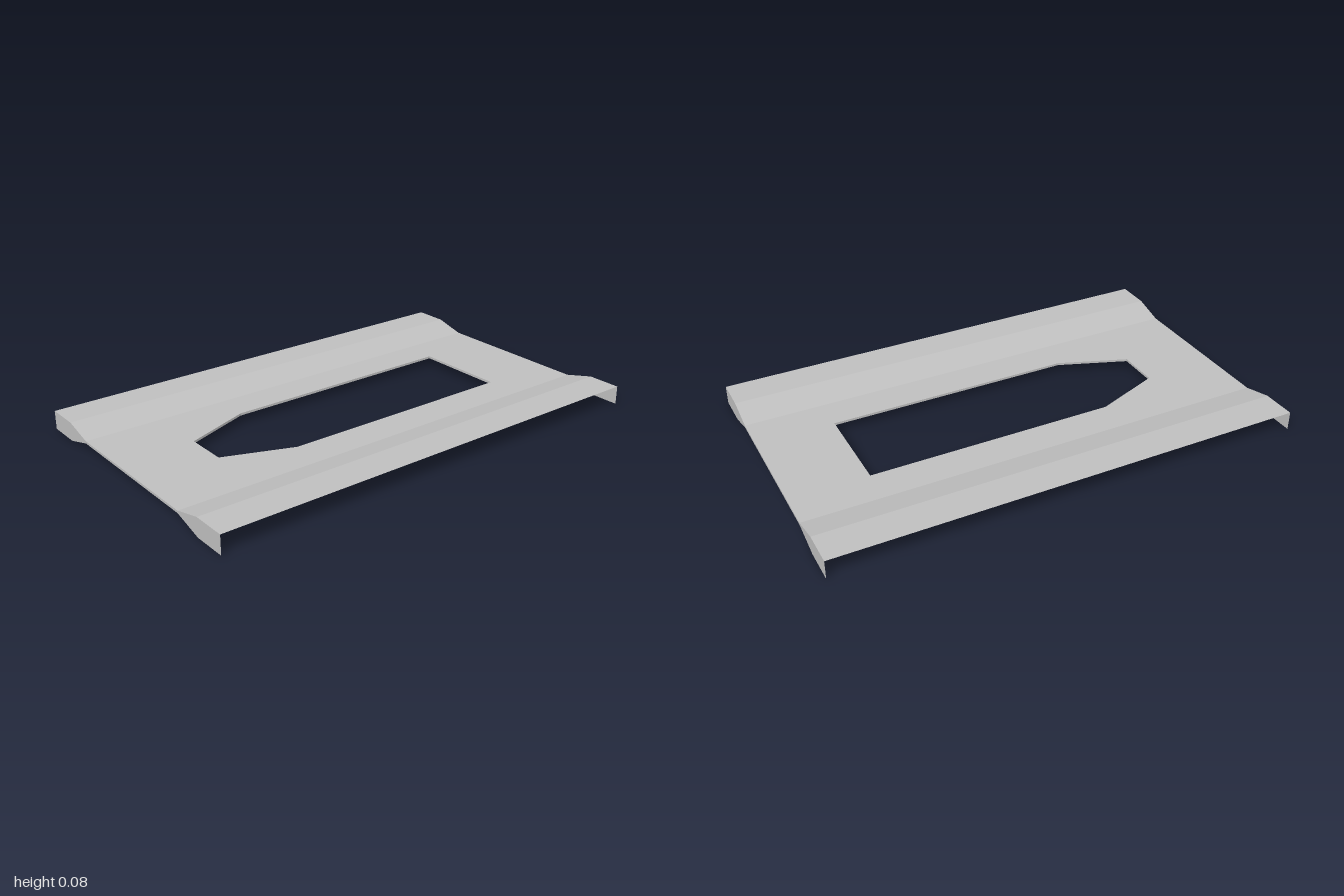
import * as THREE from 'three';

const HALF_W = 0.625, FLAT_X = 0.35, RIM_X = 0.48, HALF_L = 1;
const RIM_Y = 0.08, TOP_Y = 0.047, UNDER_Y = 0.037;

const shapeFrom = pts => new THREE.Shape(pts.map(([x, y]) => new THREE.Vector2(x, y)));

// Vertical or sloped strips swept between matching points of two rails
function strips(railA, railB) {
  const pos = [];
  for (let i = 0; i < railA.length - 1; i++) {
    const a = railA[i], b = railA[i + 1], c = railB[i + 1], d = railB[i];
    pos.push(...a, ...b, ...c, ...a, ...c, ...d);
  }
  const geo = new THREE.BufferGeometry();
  geo.setAttribute('position', new THREE.Float32BufferAttribute(pos, 3));
  geo.computeVertexNormals();
  return geo;
}

export function createModel() {
  const group = new THREE.Group();
  const grey = new THREE.MeshStandardMaterial({ color: 0xc0c0c0, side: THREE.DoubleSide });
  grey.name = 'light grey';
  const add = (name, geo) => {
    const mesh = new THREE.Mesh(geo, grey);
    mesh.name = name;
    group.add(mesh);
    return mesh;
  };

  // Flat centre panel with the tapered opening
  const opening = [[-0.2, -0.67], [0.2, -0.67], [0.2, 0.38], [0.09, 0.67], [-0.09, 0.67], [-0.2, 0.38]];
  const panel = shapeFrom([[-FLAT_X, -HALF_L], [FLAT_X, -HALF_L], [FLAT_X, HALF_L], [-FLAT_X, HALF_L]]);
  panel.holes.push(new THREE.Path(opening.map(([x, z]) => new THREE.Vector2(x, -z))));
  add('centrePanel', new THREE.ShapeGeometry(panel).rotateX(-Math.PI / 2).translate(0, TOP_Y, 0));

  // Thin walls around the opening
  const loop = [...opening, opening[0]];
  add('openingWalls', strips(
    loop.map(([x, z]) => [x, UNDER_Y, z]),
    loop.map(([x, z]) => [x, TOP_Y, z])));

  // Raised side rims, open underneath and on the outside
  for (const side of [-1, 1]) {
    const profile = [[FLAT_X, TOP_Y], [RIM_X, RIM_Y], [HALF_W, RIM_Y]].map(([x, y]) => [side * x, y]);
    if (side < 0) profile.reverse();
    add(side > 0 ? 'leftRim' : 'rightRim', strips(
      profile.map(([x, y]) => [x, y, HALF_L]),
      profile.map(([x, y]) => [x, y, -HALF_L])));
  }

  // End plates with the full waisted profile
  const half = [[FLAT_X, UNDER_Y], [RIM_X, 0], [HALF_W, 0], [HALF_W, RIM_Y], [RIM_X, RIM_Y], [FLAT_X, TOP_Y]];
  const outline = shapeFrom([...half, ...half.map(([x, y]) => [-x, y]).reverse()]);
  add('frontEndPlate', new THREE.ShapeGeometry(outline).translate(0, 0, HALF_L));
  add('backEndPlate', new THREE.ShapeGeometry(outline).rotateY(Math.PI).translate(0, 0, -HALF_L));

  return group;
}
